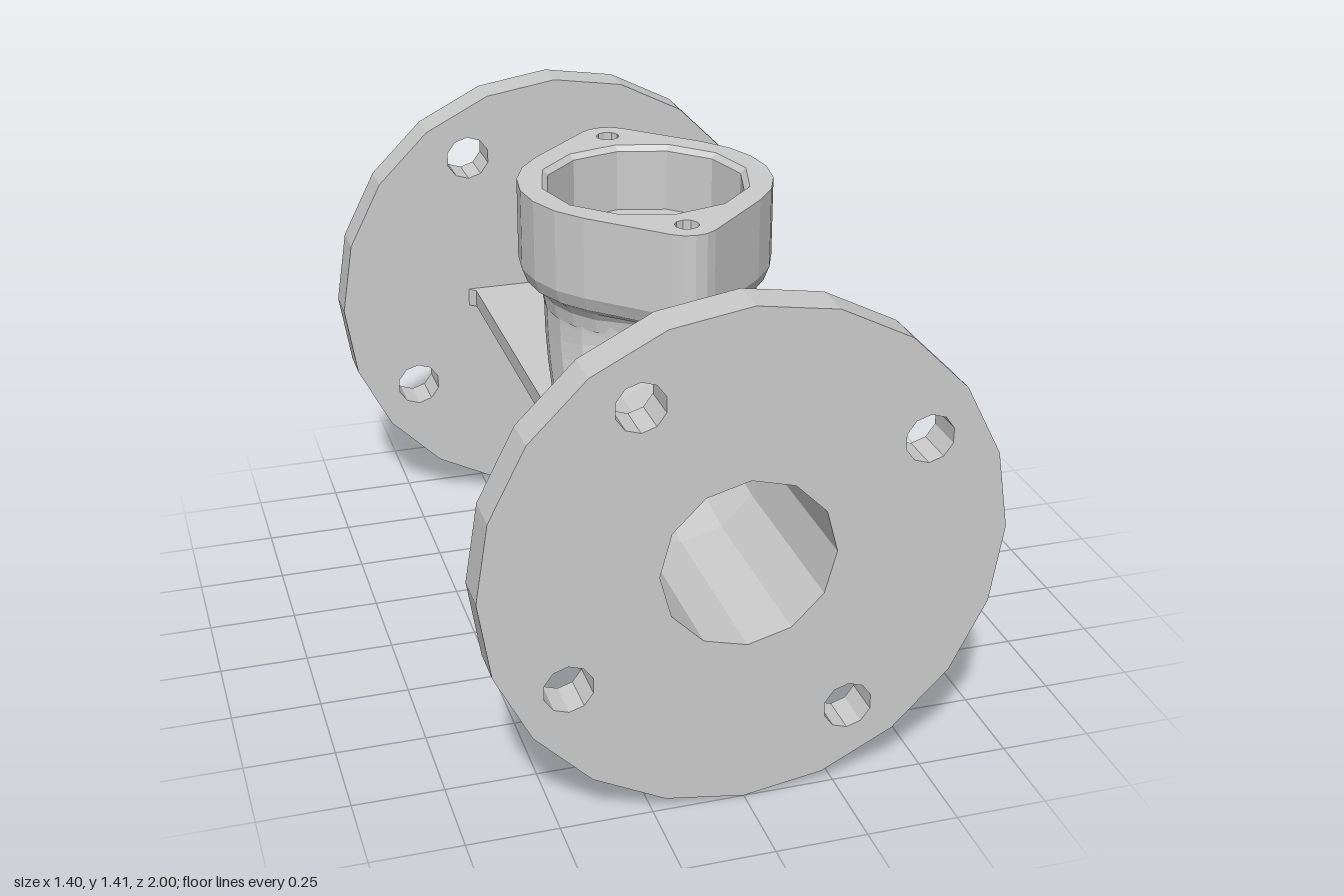
import * as THREE from 'three';

const AXIS = 0.7;                    // height of the flange axis
const BEND = { z: 0.4425, y: 1.05, r: 0.35 };
const NECK_Z = BEND.z - BEND.r;
const mat = new THREE.MeshStandardMaterial({ color: 0xcccccc, flatShading: true });

// Regular polygon points with a corner on the vertical axis
function polygon(r, n, cx = 0, cy = 0) {
  return Array.from({ length: n }, (_, i) => {
    const a = Math.PI / 2 + (i / n) * Math.PI * 2;
    return new THREE.Vector2(cx + r * Math.cos(a), cy + r * Math.sin(a));
  });
}

// Skin over a list of closed rings of equal length
function loft(rings, inward = false) {
  const n = rings[0].length, index = [];
  for (let i = 0; i < rings.length - 1; i++) {
    for (let j = 0; j < n; j++) {
      const a = i * n + j, b = i * n + ((j + 1) % n), c = a + n, d = b + n;
      if (inward) index.push(a, c, b, b, c, d);
      else index.push(a, b, c, b, d, c);
    }
  }
  const g = new THREE.BufferGeometry().setFromPoints(rings.flat());
  g.setIndex(index);
  g.computeVertexNormals();
  return g;
}

// Ring of the elbow pipe: t is the bend angle, (z, y) its centre
function pipeRing(r, sides, t, z, y) {
  return Array.from({ length: sides }, (_, i) => {
    const a = (i / sides) * Math.PI * 2, s = r * Math.sin(a);
    return new THREE.Vector3(r * Math.cos(a), y - s * Math.cos(t), z - s * Math.sin(t));
  });
}

function elbow(start, r, sides, top, steps, inward) {
  const rings = start.map(([z, rad]) => pipeRing(rad, sides, 0, z, AXIS));
  for (let i = 0; i <= steps; i++) {
    const t = (i / steps) * Math.PI / 2;
    rings.push(pipeRing(r, sides, t, BEND.z - BEND.r * Math.sin(t), BEND.y - BEND.r * Math.cos(t)));
  }
  rings.push(pipeRing(r, sides, Math.PI / 2, NECK_Z, top));
  return loft(rings, inward);
}

// Outline of the head: a main circle with two tangent ears, as [x, z]
const EAR = 0.3685;
function headOutline(R, r, d) {
  const th = Math.acos(0.719), pts = [];
  for (const side of [0, Math.PI]) {
    for (let i = 0; i <= 4; i++) {
      const a = side - th + (i / 4) * 2 * th;
      pts.push([r * Math.sin(a), r * Math.cos(a) + d * Math.cos(side)]);
    }
    for (let i = 0; i <= 6; i++) {
      const a = side + th + (i / 6) * (Math.PI - 2 * th);
      pts.push([R * Math.sin(a), R * Math.cos(a)]);
    }
  }
  return pts;
}

export function createModel() {
  const model = new THREE.Group();
  const add = (name, geometry, parent = model) => {
    const m = new THREE.Mesh(geometry, mat);
    m.name = name;
    parent.add(m);
    return m;
  };

  // End flanges, the front one with the bore
  for (const [name, z, bored] of [['frontFlange', 0.885, true], ['backFlange', -1, false]]) {
    const s = new THREE.Shape(polygon(0.7, 20));
    for (let k = 0; k < 4; k++) {
      const a = THREE.MathUtils.degToRad(31 + 90 * k);
      s.holes.push(new THREE.Path(polygon(0.067, 10, 0.55 * Math.cos(a), 0.55 * Math.sin(a))));
    }
    if (bored) s.holes.push(new THREE.Path(polygon(0.235, 12)));
    add(name, new THREE.ExtrudeGeometry(s, { depth: 0.115, bevelEnabled: false }))
      .position.set(0, AXIS, z);
  }

  // Elbow pipe with a fillet at the flange, and its bore
  add('elbowPipe', elbow([[0.89, 0.315], [0.868, 0.288], [0.84, 0.28]], 0.282, 20, 1.13, 8, false));
  add('elbowBore', elbow([[1, 0.235]], 0.235, 12, 1.22, 6, true));

  // Head with two ears on top of the neck
  const head = new THREE.Group();
  head.name = 'head';
  head.position.z = NECK_Z;
  model.add(head);
  const levels = [
    [1.06, 0.283, 0.283, 0], [1.1, 0.29, 0.29, 0], [1.123, 0.305, 0.305, 0],
    [1.127, 0.31, 0.04, EAR], [1.145, 0.335, 0.068, EAR], [1.185, 0.35, 0.085, EAR],
    [1.41, 0.35, 0.085, EAR],
  ];
  add('headWall', loft(levels.map(([y, R, r, d]) =>
    headOutline(R, r, d).map(([x, z]) => new THREE.Vector3(x, y, z)))), head);
  const face = new THREE.Shape(headOutline(0.35, 0.085, EAR).map(([x, z]) => new THREE.Vector2(x, -z)));
  face.holes.push(new THREE.Path(polygon(0.29, 12)));
  for (const s of [-1, 1]) face.holes.push(new THREE.Path(polygon(0.033, 10, 0, s * 0.372)));
  add('headFace', new THREE.ShapeGeometry(face).rotateX(-Math.PI / 2).translate(0, 1.41, 0), head);
  const lathe = (pts, n) => new THREE.LatheGeometry(pts.map(p => new THREE.Vector2(...p)), n);
  add('counterbore', lathe([[0.29, 1.41], [0.275, 1.395], [0.275, 1.22], [0.235, 1.22]], 12), head);
  for (const s of [-1, 1]) {
    add('screwHole', lathe([[0.033, 1.41], [0.033, 1.2], [0, 1.2]], 10), head).position.z = s * 0.372;
  }

  // Upright rib of the cross-shaped beam, ending inside the elbow wall
  const rib = [[0.89, 0.4], [0.89, 1.01], [0.865, 0.98]];
  for (let i = 0; i <= 8; i++) {
    const t = THREE.MathUtils.degToRad(83 - i * 9.5);
    rib.push([0.605 * Math.sin(t) - BEND.z, BEND.y - 0.605 * Math.cos(t)]);
  }
  rib.push([-0.3, 0.43], [0.865, 0.43]);
  add('uprightRib', new THREE.ExtrudeGeometry(
    new THREE.Shape(rib.map(p => new THREE.Vector2(...p))), { depth: 0.06, bevelEnabled: false })
    .rotateY(Math.PI / 2).translate(-0.03, 0, 0));

  // Level plate of the beam, hollowed to clear the bore
  const plate = [[0.275, -0.2], [0.275, 0.865], [0.3, 0.89], [-0.3, 0.89], [-0.275, 0.865], [-0.275, -0.2]];
  for (let i = 0; i <= 10; i++) {
    const a = Math.PI * (1 - i / 10);
    const d = BEND.r + 0.26 * Math.sin(a);
    plate.push([0.26 * Math.cos(a), Math.sqrt(Math.max(d * d - 0.1225, 0)) - BEND.z]);
  }
  add('levelPlate', new THREE.ExtrudeGeometry(
    new THREE.Shape(plate.map(p => new THREE.Vector2(...p))), { depth: 0.055, bevelEnabled: false })
    .rotateX(-Math.PI / 2).translate(0, 0.675, 0));

  // Fillet core where rib and plate cross
  add('beamCore', new THREE.BoxGeometry(0.085, 0.085, 0.79)
    .rotateZ(Math.PI / 4).translate(0, 0.7025, -0.495));

  // Side boss with a blind hole; its base follows the pipe wall
  const boss = lathe([[0.11, 0.1], [0.115, 0.28], [0.12, 0.295], [0.11, 0.305],
    [0.06, 0.305], [0.06, 0.25], [0, 0.25]], 14)
    .rotateZ(Math.PI / 2).translate(0, 0.55, 0.43);
  const p = boss.attributes.position;
  for (let i = 0; i < p.count; i += 7) {
    const dy = p.getY(i) - AXIS;
    p.setX(i, -Math.sqrt(Math.max(0.26 * 0.26 - dy * dy, 0)));
  }
  boss.computeVertexNormals();
  add('sideBoss', boss);

  return model;
}
